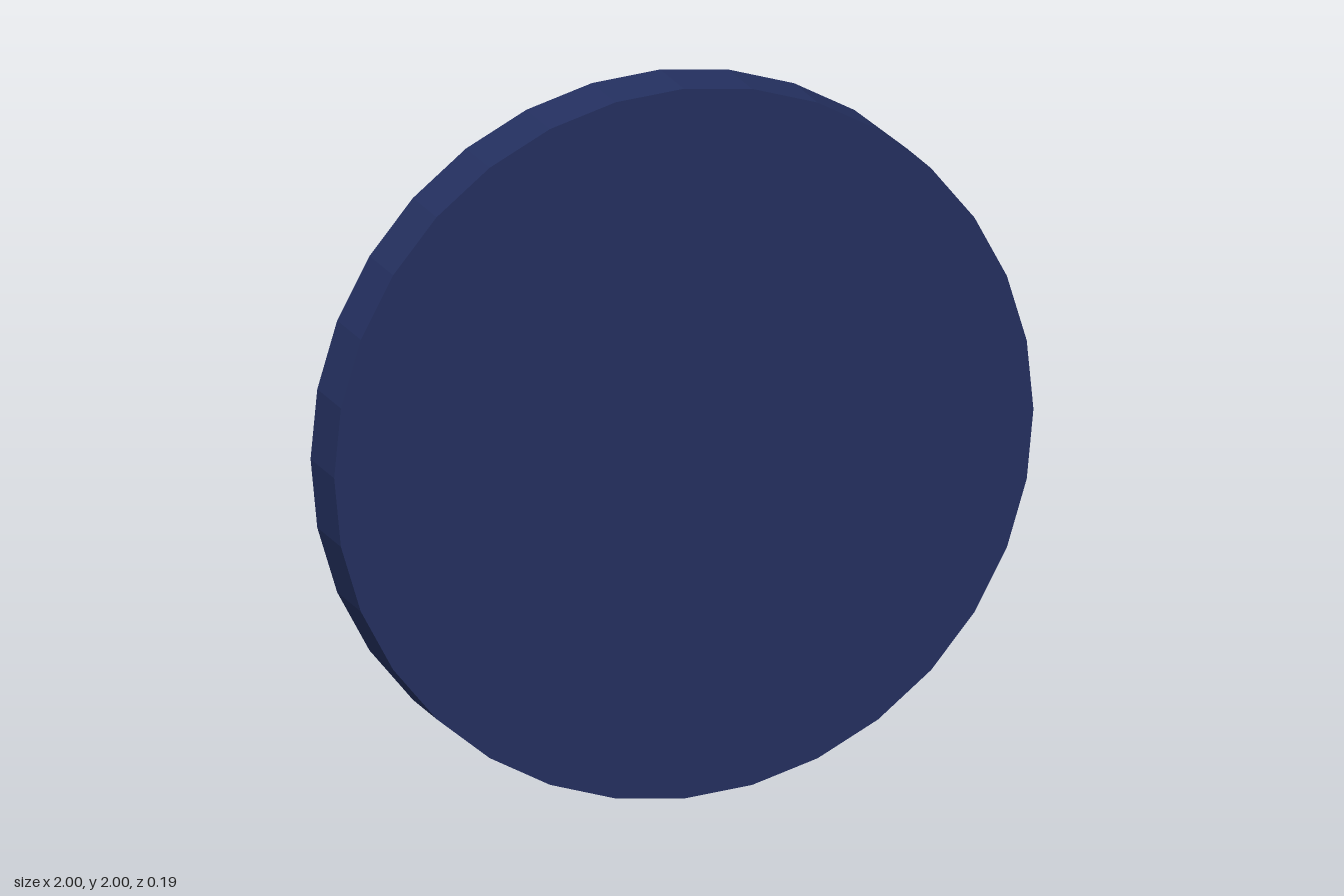
import * as THREE from 'three';

const SIDES = 32, DEPTH = 0.097, INNER = 0.84, DIAL_Z = -0.012;

export function createModel() {
  const navy = new THREE.MeshStandardMaterial({ color: 0x243060 });
  const ivory = new THREE.MeshStandardMaterial({ color: 0xd3d0ca });
  const black = new THREE.MeshStandardMaterial({ color: 0x0b0b0b });
  navy.name = 'navy';
  ivory.name = 'ivory';
  black.name = 'black';

  const clock = new THREE.Group();
  clock.name = 'wallClock';

  function add(parent, name, geometry, material) {
    const mesh = new THREE.Mesh(geometry, material);
    mesh.name = name;
    parent.add(mesh);
    return mesh;
  }

  // Faceted case: closed at +z, recessed towards the dial at -z
  const profile = [[0, -DEPTH], [1, -DEPTH], [1, DEPTH], [INNER, DEPTH], [INNER, -DIAL_Z]]
    .map(([r, y]) => new THREE.Vector2(r, y));
  const caseGeometry = new THREE.LatheGeometry(profile, SIDES).rotateX(-Math.PI / 2).toNonIndexed();
  caseGeometry.computeVertexNormals();
  add(clock, 'case', caseGeometry, navy).position.y = 1;

  // Dial at the bottom of the recess
  const dial = add(clock, 'dial', new THREE.CircleGeometry(INNER, SIDES).rotateY(Math.PI), ivory);
  dial.position.set(0, 1, DIAL_Z);

  // Markings and hands share a centre slightly off that of the case
  const face = new THREE.Group();
  face.name = 'markings';
  face.position.set(0.03, 1.015, DIAL_Z);
  clock.add(face);

  // Rounded bar between two points of the dial
  function bar(name, x1, y1, x2, y2, radius, z = 0) {
    const length = Math.hypot(x2 - x1, y2 - y1);
    const geometry = new THREE.CapsuleGeometry(radius, Math.max(length - 2 * radius, 0.001), 4, 10);
    geometry.scale(1, 1, 0.6);
    const mesh = add(face, name, geometry, black);
    mesh.position.set((x1 + x2) / 2, (y1 + y2) / 2, z);
    mesh.rotation.z = Math.atan2(x1 - x2, y2 - y1);
  }

  // Long marks at the quarters, specks at the other hours
  const tilt = 0.11;
  for (let i = 0; i < 12; i++) {
    const a = tilt + i * Math.PI / 6, s = Math.sin(a), c = Math.cos(a);
    const quarter = i % 3 === 0;
    const [r1, r2] = quarter ? [0.61, 0.75] : [0.66, 0.684];
    bar(quarter ? 'quarterMark' : 'hourMark', r1 * s, r1 * c, r2 * s, r2 * c, quarter ? 0.018 : 0.006);
  }

  // Hands and hub
  bar('minuteHand', 0.005, 0.01, -0.465, 0.03, 0.018, -0.008);
  bar('hourHand', 0.005, 0.01, -0.172, -0.278, 0.017, -0.008);
  const hub = add(face, 'hub', new THREE.SphereGeometry(0.034, 16, 10), black);
  hub.position.set(0.005, 0.01, -0.008);
  hub.scale.z = 0.6;

  return clock;
}
